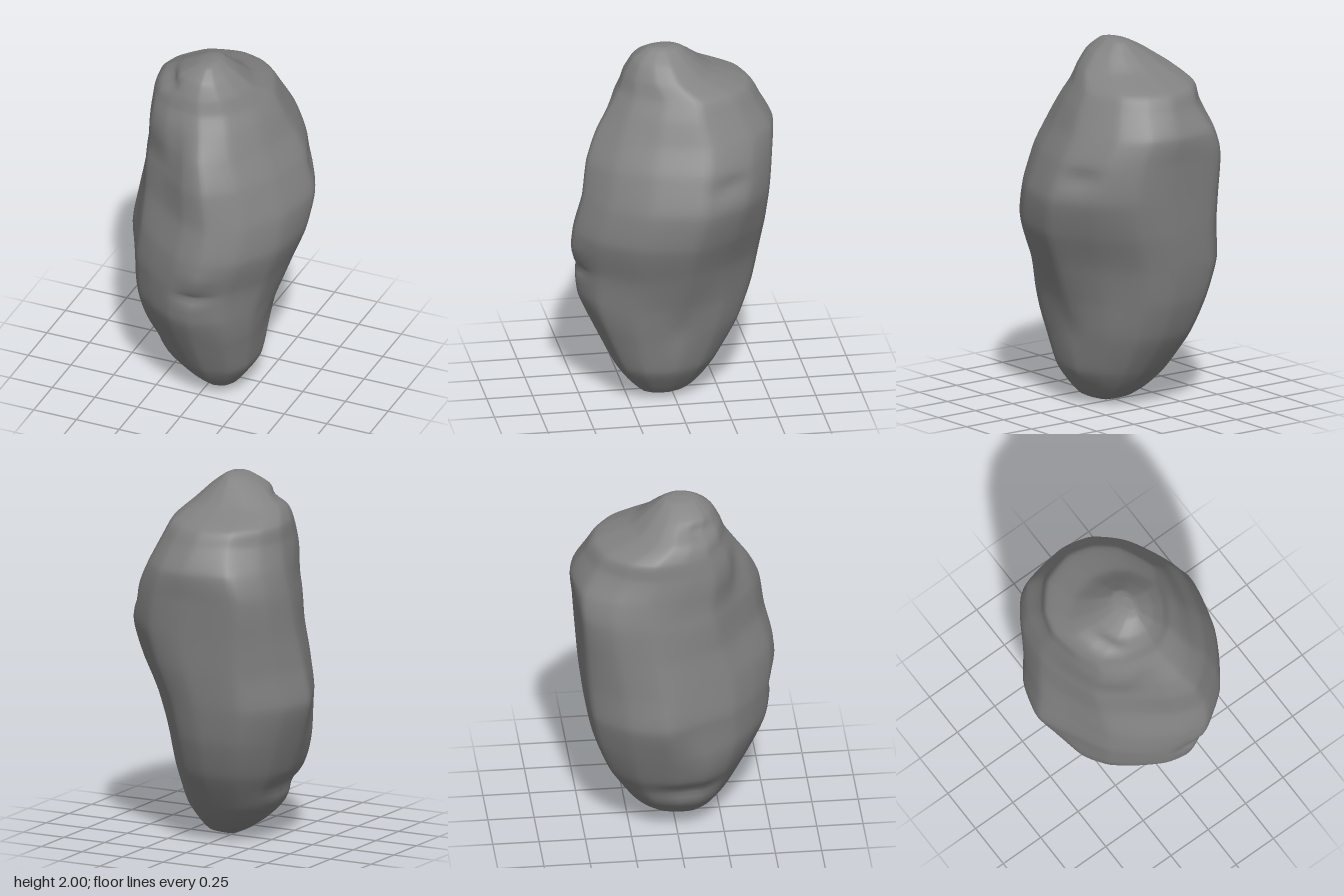
import * as THREE from 'three';

const AROUND = 84, UP = 110;

// Extents of the boulder by height: y, xMin, xMax, zMin (back), zMax (front)
const LEVELS = [
  [0.00, 0.00, 0.06, 0.02, 0.10],
  [0.035, -0.08, 0.15, -0.09, 0.18],
  [0.10, -0.18, 0.205, -0.17, 0.25],
  [0.20, -0.28, 0.265, -0.25, 0.32],
  [0.40, -0.385, 0.305, -0.375, 0.42],
  [0.60, -0.465, 0.35, -0.45, 0.51],
  [0.80, -0.525, 0.42, -0.49, 0.535],
  [1.00, -0.497, 0.495, -0.515, 0.55],
  [1.20, -0.468, 0.52, -0.53, 0.505],
  [1.40, -0.447, 0.46, -0.545, 0.475],
  [1.55, -0.42, 0.385, -0.557, 0.415],
  [1.68, -0.39, 0.325, -0.49, 0.335],
  [1.77, -0.375, 0.275, -0.43, 0.28],
  [1.85, -0.31, 0.205, -0.235, 0.25],
  [1.93, -0.195, 0.125, -0.13, 0.205],
  [1.985, -0.09, 0.05, -0.06, 0.135],
  [2.00, -0.03, 0.02, 0.00, 0.08],
];

// Outlines in a unit square, from the front tip round by -x, back and +x
const BASE = [[0.25, 1], [-0.06, 0.95], [-0.38, 0.8], [-0.72, 0.58], [-0.95, 0.28], [-1, -0.15],
  [-0.88, -0.6], [-0.55, -0.94], [0, -1], [0.4, -0.9], [0.76, -0.58], [1, -0.08], [0.96, 0.5], [0.7, 0.86]];
const LOWER = [[0.3, 1], [-0.02, 0.95], [-0.34, 0.77], [-0.62, 0.53], [-0.85, 0.12], [-1, -0.2],
  [-0.88, -0.6], [-0.55, -0.94], [0, -1], [0.38, -0.9], [0.74, -0.55], [1, -0.12], [0.92, 0.4], [0.63, 0.81]];
const UPPER = [[0.25, 1], [-0.06, 0.92], [-0.4, 0.68], [-0.74, 0.43], [-0.9, 0.08], [-1, -0.25],
  [-0.94, -0.64], [-0.69, -0.94], [0, -1], [0.42, -0.94], [0.77, -0.68], [1, -0.2], [0.86, 0.36], [0.6, 0.76]];
const HEAD = [[0.2, 1], [-0.1, 0.98], [-0.42, 0.88], [-0.74, 0.66], [-0.92, 0.3], [-1, -0.15],
  [-0.87, -0.52], [-0.52, -0.87], [0, -1], [0.42, -0.9], [0.75, -0.64], [1, -0.1], [0.87, 0.4], [0.57, 0.82]];

// Local dents and bumps: centre, radii, displacement
const DENTS = [
  { c: [0.08, 0.77, 0.55], r: [0.09, 0.03, 0.15], d: [0, 0, -0.025] },
  { c: [0.12, 0.9, 0.55], r: [0.12, 0.06, 0.15], d: [0, 0, 0.012] },
  { c: [-0.34, 0.31, 0.05], r: [0.12, 0.05, 0.2], d: [0.03, 0, 0] },
  { c: [-0.22, 1.87, 0.12], r: [0.08, 0.04, 0.12], d: [0.03, 0, -0.03] },
  { c: [-0.1, 1.58, 0.36], r: [0.09, 0.12, 0.12], d: [0.01, 0, -0.02] },
  { c: [0.42, 1.33, -0.25], r: [0.12, 0.05, 0.1], d: [-0.02, 0, 0.01] },
  { c: [0.33, 0.45, 0.0], r: [0.1, 0.12, 0.07], d: [-0.015, 0, 0] },
];

// Evenly sampled outline, rescaled to fill the unit square exactly
function outline(points) {
  const curve = new THREE.CatmullRomCurve3(
    points.map(([x, z]) => new THREE.Vector3(x, 0, z)), true, 'catmullrom', 0.3);
  const out = Array.from({ length: AROUND }, (_, j) => curve.getPoint(j / AROUND));
  const box = new THREE.Box3().setFromPoints(out);
  const fit = (v, a, b) => (v - a) / (b - a);
  return out.map(p => [fit(p.x, box.min.x, box.max.x), fit(p.z, box.min.z, box.max.z)]);
}

function boulderGeometry() {
  const { lerp, smoothstep } = THREE.MathUtils;
  const levelCurve = (ix, iz) => new THREE.CatmullRomCurve3(
    LEVELS.map(l => new THREE.Vector3(l[ix], l[0], l[iz])), false, 'catmullrom', 0.35);
  const minCurve = levelCurve(1, 3), maxCurve = levelCurve(2, 4);
  const [base, ...above] = [BASE, LOWER, UPPER, HEAD].map(outline);
  const blends = [[0.4, 0.8], [0.8, 1.4], [1.4, 1.72]];
  const positions = [], index = [];

  // Stacked cross-sections
  for (let i = 0; i <= UP; i++) {
    const a = minCurve.getPoint(i / UP), b = maxCurve.getPoint(i / UP);
    const weights = blends.map(([from, to]) => smoothstep(a.y, from, to));
    for (let j = 0; j < AROUND; j++) {
      const [u, v] = [0, 1].map(n =>
        above.reduce((value, shape, k) => lerp(value, shape[j][n], weights[k]), base[j][n]));
      const p = [lerp(a.x, b.x, u), a.y, lerp(a.z, b.z, v)];
      for (const { c, r, d } of DENTS) {
        const w = Math.exp(-p.reduce((s, value, n) => s + ((value - c[n]) / r[n]) ** 2, 0));
        for (let n = 0; n < 3; n++) p[n] += d[n] * w;
      }
      positions.push(...p);
      if (i < UP) {
        const j2 = (j + 1) % AROUND, s = i * AROUND, t = s + AROUND;
        index.push(s + j, t + j, s + j2, s + j2, t + j, t + j2);
      }
    }
  }

  // Close the bottom and the top
  const bottom = positions.length / 3, top = bottom + 1, last = UP * AROUND;
  positions.push(0.03, 0, 0.06, -0.005, 2, 0.04);
  for (let j = 0; j < AROUND; j++) {
    const j2 = (j + 1) % AROUND;
    index.push(bottom, j, j2, top, last + j2, last + j);
  }

  const geometry = new THREE.BufferGeometry();
  geometry.setAttribute('position', new THREE.Float32BufferAttribute(positions, 3));
  geometry.setIndex(index);
  geometry.computeVertexNormals();
  return geometry;
}

export function createModel() {
  const group = new THREE.Group();
  group.name = 'rock';
  const boulder = new THREE.Mesh(boulderGeometry(), new THREE.MeshStandardMaterial({ color: 0x828282 }));
  boulder.name = 'boulder';
  group.add(boulder);
  return group;
}
